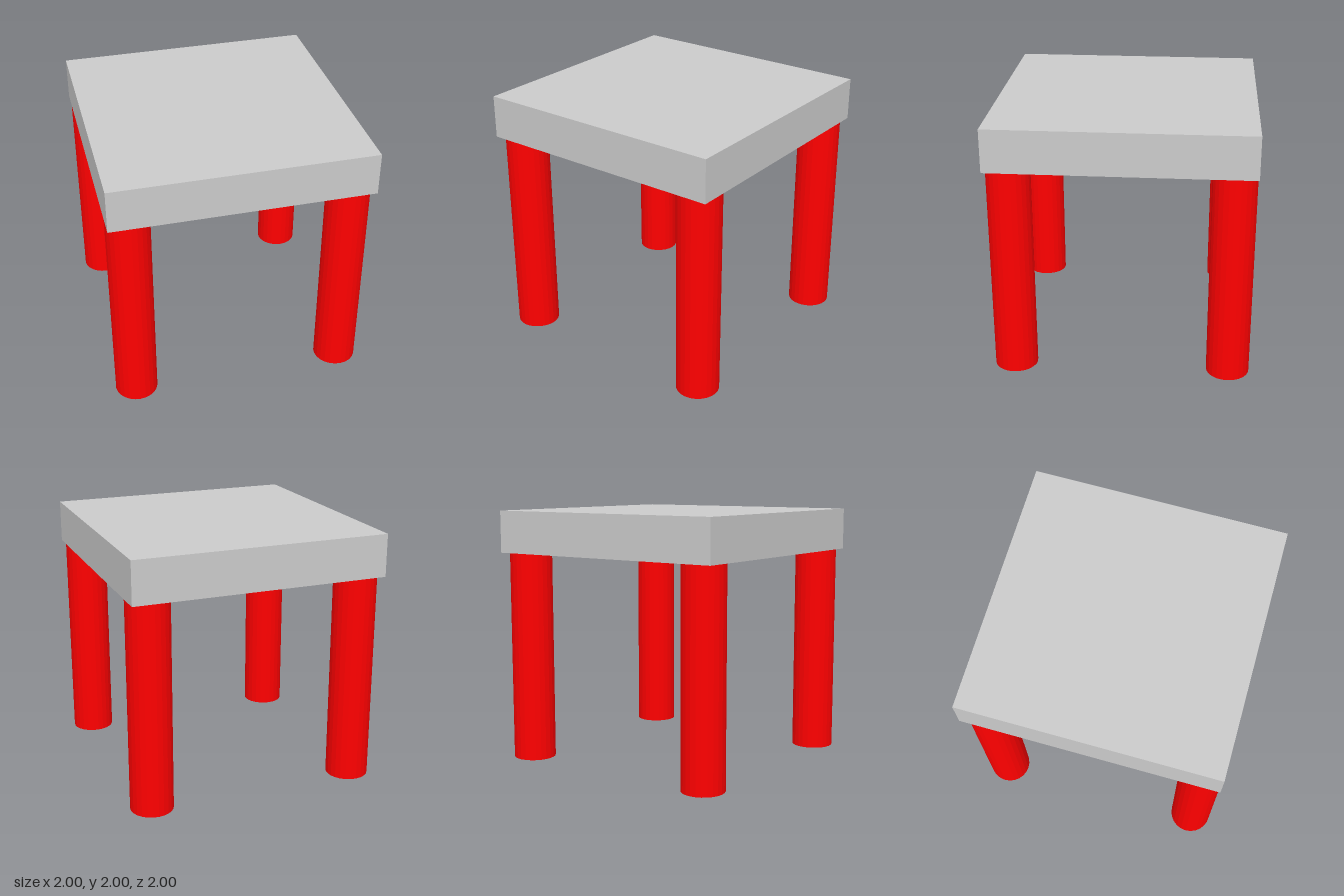
import * as THREE from 'three';

const SIZE = 2;
const TOP_THICKNESS = 0.333;
const LEG_RADIUS = 0.1667;
const LEG_HEIGHT = SIZE - TOP_THICKNESS;

export function createModel() {
  const table = new THREE.Group();
  table.name = 'table';

  const grey = new THREE.MeshStandardMaterial({ color: 0xcccccc });
  const red = new THREE.MeshStandardMaterial({ color: 0xff0000, flatShading: true });

  // Square slab top
  const top = new THREE.Mesh(new THREE.BoxGeometry(SIZE, TOP_THICKNESS, SIZE), grey);
  top.name = 'tableTop';
  top.position.y = SIZE - TOP_THICKNESS / 2;
  table.add(top);

  // Four faceted round legs, flush with the edges of the top
  const legGeometry = new THREE.CylinderGeometry(LEG_RADIUS, LEG_RADIUS, LEG_HEIGHT, 24);
  const offset = SIZE / 2 - LEG_RADIUS;
  for (const [sx, side] of [[1, 'Left'], [-1, 'Right']]) {
    for (const [sz, end] of [[1, 'front'], [-1, 'back']]) {
      const leg = new THREE.Mesh(legGeometry, red);
      leg.name = `${end}${side}Leg`;
      leg.position.set(sx * offset, LEG_HEIGHT / 2, sz * offset);
      table.add(leg);
    }
  }

  return table;
}
